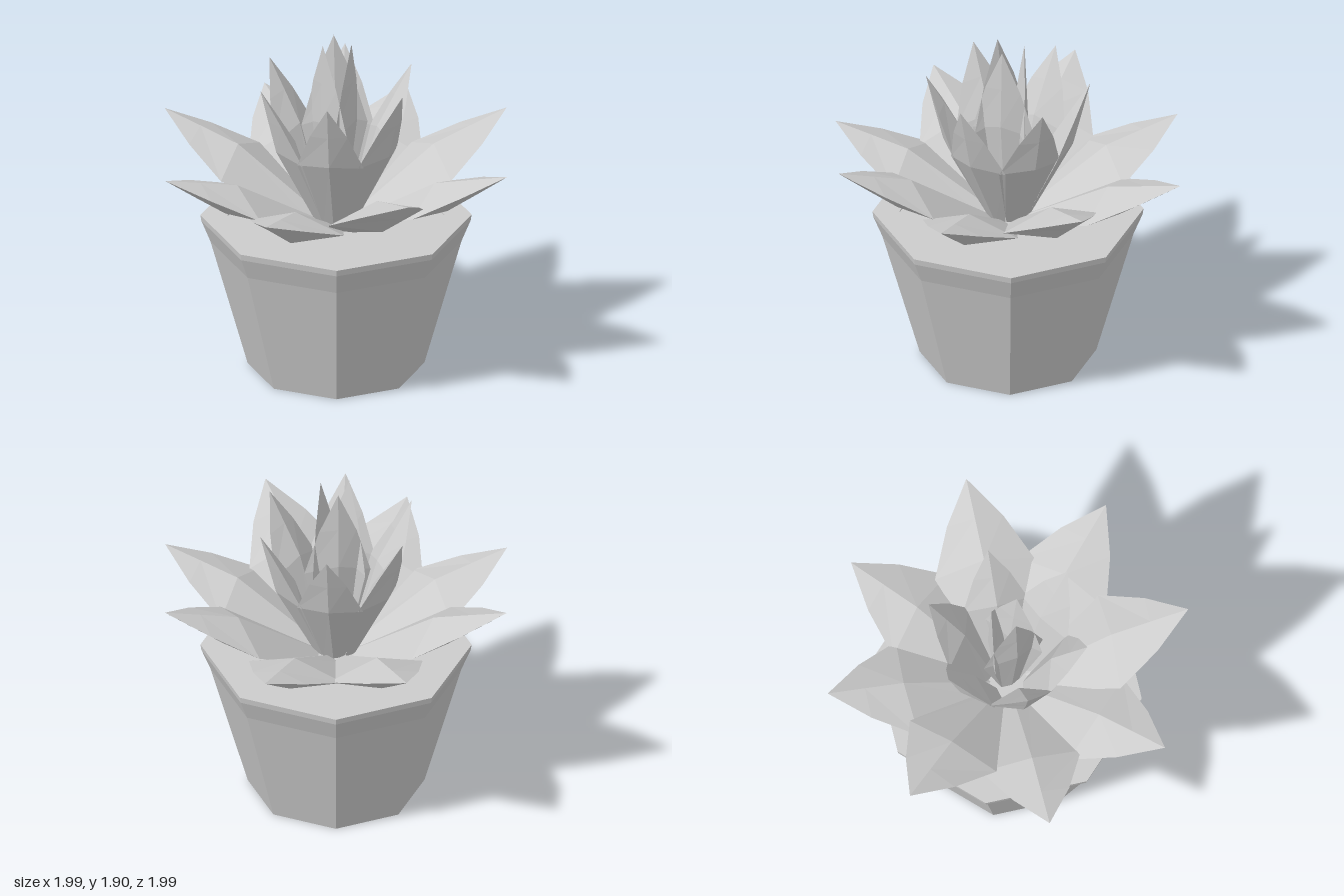
import * as THREE from 'three';

const stone = new THREE.MeshStandardMaterial({ color: 0xcccccc, flatShading: true });
stone.name = 'pale grey';

// Faceted leaf along +x: diamond cross-sections from a base to a pointed tip
function leafGeometry(base, tip, halfWidth, thickness) {
  const dir = new THREE.Vector2(tip[0] - base[0], tip[1] - base[1]);
  const normal = new THREE.Vector2(-dir.y, dir.x).normalize();
  // edge position, ridge position, width factor, thickness factor
  const sections = [
    [0, 0, 0.3, 0.3],
    [0.51, 0.57, 1, 1],
    [0.77, 0.79, 0.565, 0.5],
    [1, 1, 0, 0],
  ];
  const positions = [];
  const index = [];
  sections.forEach(([tEdge, tRidge, w, h], i) => {
    for (let j = 0; j < 4; j++) {
      const onRidge = j % 2 === 0;
      const sign = j < 2 ? 1 : -1;
      const t = onRidge ? tRidge : tEdge;
      const up = onRidge ? sign * thickness * h : 0;
      const side = onRidge ? 0 : sign * halfWidth * w;
      positions.push(base[0] + dir.x * t + normal.x * up, base[1] + dir.y * t + normal.y * up, side);
      if (i < sections.length - 1) {
        const a = i * 4 + j, b = i * 4 + (j + 1) % 4;
        index.push(a, b, b + 4);
        if (i < sections.length - 2) index.push(a, b + 4, a + 4);
      }
    }
  });
  const indexed = new THREE.BufferGeometry();
  indexed.setAttribute('position', new THREE.Float32BufferAttribute(positions, 3));
  indexed.setIndex(index);
  const geometry = indexed.toNonIndexed();
  geometry.computeVertexNormals();
  return geometry;
}

// Ring of leaves, one per tip height, turning from +x towards +z
function leafRing(name, tipHeights, startDegrees, base, tipRadius, halfWidth, thickness) {
  const ring = new THREE.Group();
  ring.name = name;
  tipHeights.forEach((height, i) => {
    const leaf = new THREE.Mesh(leafGeometry(base, [tipRadius, height], halfWidth, thickness), stone);
    leaf.name = name + 'Leaf';
    leaf.rotation.y = -THREE.MathUtils.degToRad(startDegrees + (i * 360) / tipHeights.length);
    ring.add(leaf);
  });
  return ring;
}

// Eight-sided turned part, with profile radii measured to the flat sides
function octagonPart(name, profile) {
  const points = profile.map(([r, y]) => new THREE.Vector2(r / Math.cos(Math.PI / 8), y));
  const geometry = new THREE.LatheGeometry(points, 8, Math.PI / 8).toNonIndexed();
  geometry.computeVertexNormals();
  const mesh = new THREE.Mesh(geometry, stone);
  mesh.name = name;
  return mesh;
}

export function createModel() {
  const model = new THREE.Group();
  model.name = 'pottedSucculent';

  // Tapered pot with a flared rim, filled with soil
  model.add(octagonPart('pot', [
    [0, 0], [0.44, 0], [0.625, 0.72], [0.67, 0.84], [0.675, 0.875], [0.54, 0.875], [0.54, 0.86],
  ]));
  model.add(octagonPart('soil', [[0.54, 0.868], [0, 0.868]]));

  // Spreading outer leaves, upright middle leaves and the closed heart
  const outerHeights = [1.27, 1.335, 1.22, 1.25, 1.335, 1.24, 1.235, 1.335];
  model.add(leafRing('outer', outerHeights, 0, [0.1, 0.84], 0.997, 0.275, 0.085));
  model.add(leafRing('middle', Array(6).fill(1.69), 14, [0.1, 0.86], 0.445, 0.18, 0.06));
  model.add(leafRing('heart', Array(3).fill(1.9), 0, [0.03, 0.86], 0.09, 0.18, 0.045));
  return model;
}
